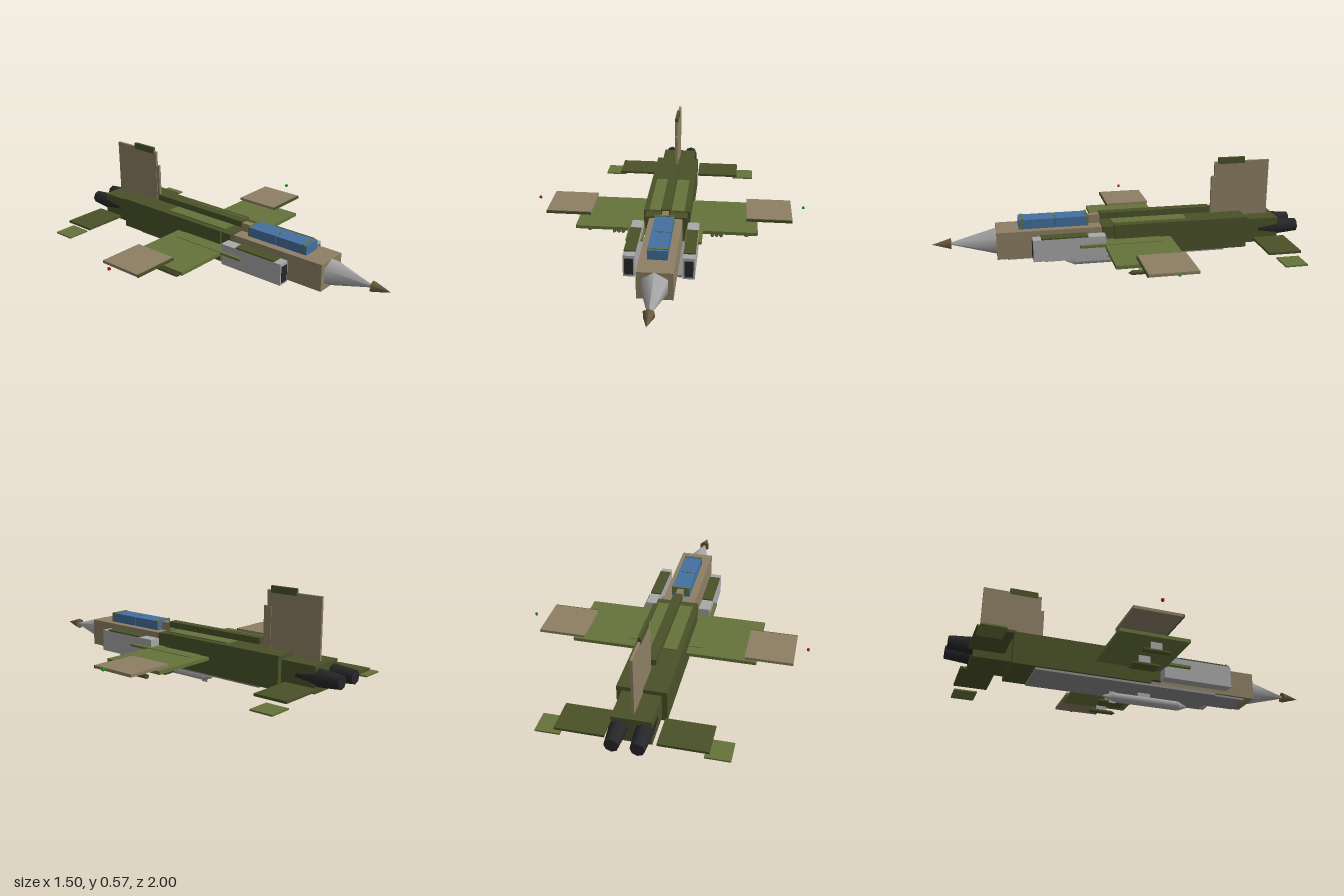
import * as THREE from 'three';

const paint = (color) => new THREE.MeshStandardMaterial({ color });

export function createModel() {
  const model = new THREE.Group();
  const dark = paint(0x4a5228), light = paint(0x65733a), tan = paint(0x8e7f64);
  const grey = paint(0xa8a8a8), underside = paint(0x8c8c8c), black = paint(0x27272a);
  const blue = paint(0x44709f), brown = paint(0x6b5a3e);
  const red = paint(0xb01818), green = paint(0x18a018);

  const add = (name, geometry, material) => {
    const mesh = new THREE.Mesh(geometry, material);
    mesh.name = name;
    model.add(mesh);
    return mesh;
  };
  // Box given by its limits on each axis
  const box = (name, mat, x0, x1, y0, y1, z0, z1) => {
    const m = add(name, new THREE.BoxGeometry(x1 - x0, y1 - y0, z1 - z0), mat);
    m.position.set((x0 + x1) / 2, (y0 + y1) / 2, (z0 + z1) / 2);
  };
  const centred = (name, mat, hx, ...rest) => box(name, mat, -hx, hx, ...rest);
  const pair = (name, mat, x0, x1, ...rest) => {
    box(name + 'Left', mat, x0, x1, ...rest);
    box(name + 'Right', mat, -x1, -x0, ...rest);
  };
  // Tapered cylinder along z, from radius r0 at z0 to r1 at z1 (z1 > z0)
  const spindle = (name, mat, x, y, z0, r0, z1, r1, sides) => {
    const g = new THREE.CylinderGeometry(r1, r0, z1 - z0, sides).rotateX(Math.PI / 2);
    add(name, g, mat).position.set(x, y, (z0 + z1) / 2);
  };

  // Fuselage
  centred('forwardFuselage', tan, 0.09, 0.1, 0.247, 0.04, 0.665);
  centred('collar', dark, 0.113, 0.115, 0.255, 0, 0.108);
  centred('mainFuselage', dark, 0.125, 0.09, 0.262, -0.69, 0.045);
  centred('rearFuselage', dark, 0.098, 0.105, 0.24, -0.88, -0.69);
  centred('backPanel', light, 0.095, 0.26, 0.268, -0.355, 0.05);
  centred('spine', dark, 0.025, 0.27, 0.303, -0.505, 0.11);
  centred('spineFront', tan, 0.018, 0.247, 0.293, 0.11, 0.175);
  centred('bellyPanel', underside, 0.112, 0.078, 0.092, -0.57, 0.42);
  centred('noseBellyPanel', underside, 0.075, 0.09, 0.102, 0.4, 0.61);

  // Nose
  spindle('noseCone', grey, 0, 0.175, 0.665, 0.074, 0.91, 0.004, 6);
  spindle('noseTip', brown, 0, 0.175, 0.9, 0.031, 1, 0, 6);

  // Canopy with three frames
  centred('rearCanopy', blue, 0.05, 0.247, 0.298, 0.175, 0.352);
  centred('frontCanopy', blue, 0.05, 0.247, 0.298, 0.355, 0.545);
  for (const z of [0.18, 0.353, 0.527])
    centred('canopyFrame', light, z === 0.353 ? 0.01 : 0.051, 0.25, 0.302, z - 0.005, z + 0.005);

  // Intakes
  pair('intake', grey, 0.12, 0.18, 0.108, 0.226, 0.1, 0.483);
  pair('intakeCover', dark, 0.12, 0.18, 0.226, 0.233, 0.195, 0.44);
  pair('intakeMouth', black, 0.128, 0.172, 0.12, 0.21, 0.47, 0.486);

  // Wings
  pair('innerWing', light, 0.12, 0.492, 0.165, 0.183, -0.26, 0.108);
  pair('wingRoot', light, 0.11, 0.2, 0.173, 0.186, -0.2, 0.24);
  pair('outerWing', tan, 0.43, 0.68, 0.192, 0.207, -0.26, -0.012);
  pair('leadingEdge', dark, 0.43, 0.68, 0.191, 0.206, -0.013, -0.006);
  box('leftWingLight', green, 0.738, 0.75, 0.216, 0.228, -0.149, -0.137);
  box('rightWingLight', red, -0.75, -0.738, 0.216, 0.228, -0.149, -0.137);

  // Tail surfaces
  pair('innerTailplane', dark, 0.125, 0.37, 0.13, 0.143, -0.908, -0.73);
  pair('outerTailplane', light, 0.345, 0.47, 0.097, 0.105, -0.905, -0.783);
  centred('fin', tan, 0.007, 0.24, 0.55, -0.845, -0.535);
  box('finLeadingEdge', tan, -0.004, 0.01, 0.26, 0.47, -0.56, -0.517);
  centred('finCap', dark, 0.008, 0.537, 0.572, -0.705, -0.555);

  for (const s of [1, -1]) {
    // Engine nozzles
    spindle('engineNozzle', black, s * 0.061, 0.178, -0.88, 0.047, -0.77, 0.04, 8);
    spindle('nozzleTail', black, s * 0.061, 0.178, -1, 0.036, -0.88, 0.047, 8);

    // Underwing stores
    for (const dx of [-0.024, 0, 0.024]) {
      spindle('bomb', dark, s * 0.272 + dx, 0.107, -0.11, 0.011, 0.01, 0.011, 8);
      spindle('bombNose', dark, s * 0.272 + dx, 0.107, 0.01, 0.011, 0.03, 0.002, 8);
      spindle('bombTail', dark, s * 0.272 + dx, 0.107, -0.13, 0.004, -0.11, 0.011, 8);
    }
    spindle('missile', dark, s * 0.434, 0.118, -0.12, 0.013, 0.015, 0.013, 6);
    spindle('missileNose', dark, s * 0.434, 0.118, 0.015, 0.013, 0.035, 0.001, 6);
  }
  pair('bombPylon', grey, 0.268, 0.276, 0.112, 0.167, -0.08, -0.02);
  pair('missilePylon', grey, 0.43, 0.438, 0.125, 0.167, -0.08, -0.02);

  // Centreline tank
  spindle('tank', grey, 0, 0.033, -0.125, 0.027, 0.245, 0.027, 6);
  spindle('tankNose', grey, 0, 0.033, 0.245, 0.027, 0.295, 0.004, 6);
  spindle('tankTail', grey, 0, 0.033, -0.18, 0.004, -0.125, 0.027, 6);
  centred('tankFin', grey, 0.003, 0, 0.064, -0.145, -0.11);
  centred('tankPylon', grey, 0.006, 0.05, 0.08, 0.015, 0.085);

  return model;
}
